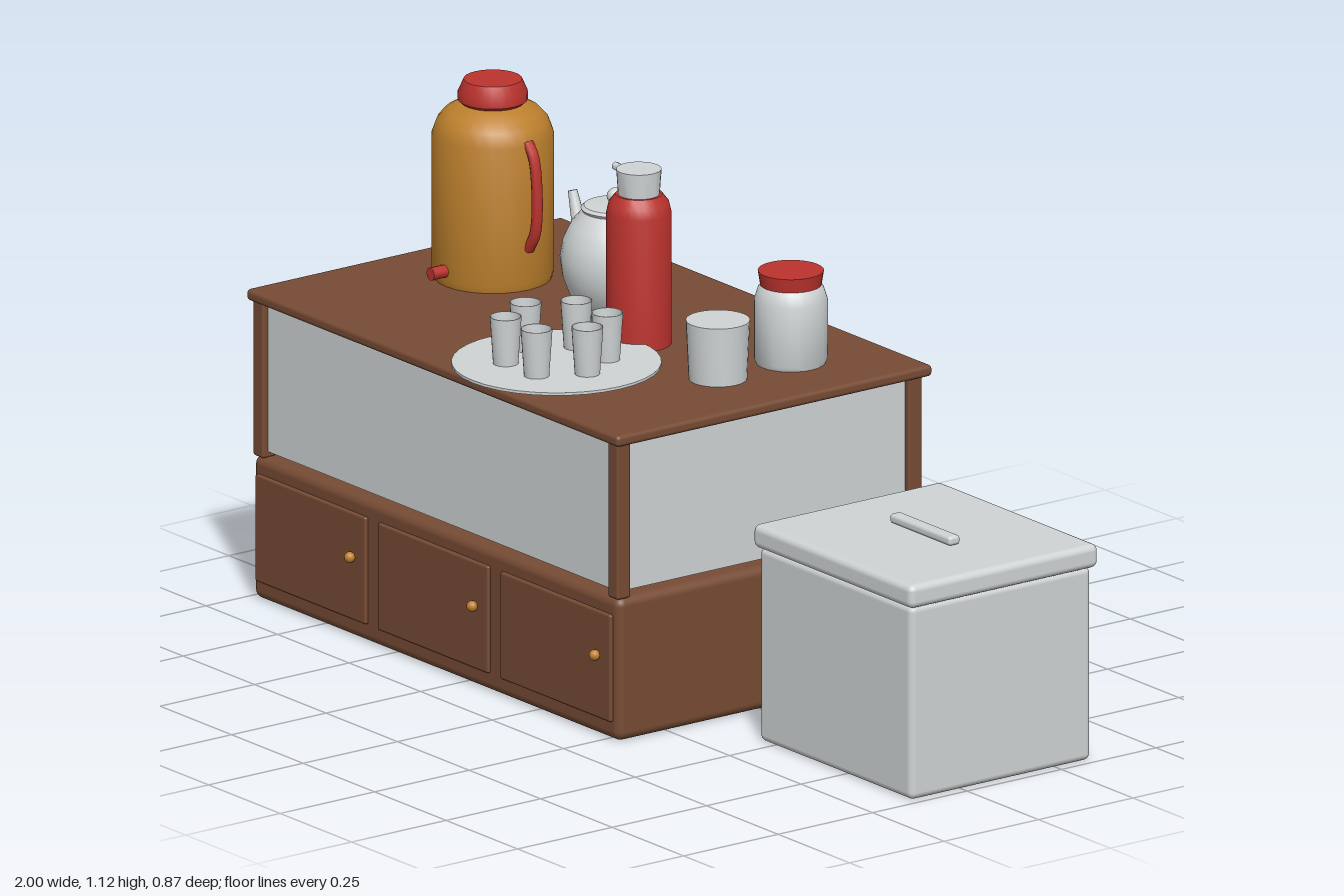
import * as THREE from 'three';
import { toCreasedNormals } from 'three/addons/utils/BufferGeometryUtils.js';
import { RoundedBoxGeometry } from 'three/addons/geometries/RoundedBoxGeometry.js';

const paint = (name, color) => {
  const m = new THREE.MeshStandardMaterial({ color });
  m.name = name;
  return m;
};

export function createModel() {
  const wood = paint('wood', 0x764b34);
  const pale = paint('paleGrey', 0xd0d4d4);
  const red = paint('red', 0xbc332e);
  const amber = paint('amber', 0xbd802d);
  const dark = paint('darkBrown', 0x3b2a20);
  const blue = paint('blue', 0x2f5a8a);
  const root = new THREE.Group();

  const add = (parent, name, geo, mat, x = 0, y = 0, z = 0) => {
    const m = new THREE.Mesh(geo, mat);
    m.name = name;
    m.position.set(x, y, z);
    parent.add(m);
    return m;
  };
  const group = (name, x = 0, y = 0, z = 0) => {
    const g = new THREE.Group();
    g.name = name;
    g.position.set(x, y, z);
    root.add(g);
    return g;
  };
  // Box given by its lower and upper limits, with optional rounded edges
  const box = (parent, name, mat, [x0, y0, z0], [x1, y1, z1], r = 0) => {
    const s = [x1 - x0, y1 - y0, z1 - z0];
    const geo = r ? new RoundedBoxGeometry(...s, 3, r) : new THREE.BoxGeometry(...s);
    return add(parent, name, geo, mat, (x0 + x1) / 2, (y0 + y1) / 2, (z0 + z1) / 2);
  };
  // Turned shape from [radius, height] pairs, listed upwards on the outside
  const turned = (pairs, sides = 28) => toCreasedNormals(
    new THREE.LatheGeometry(pairs.map(p => new THREE.Vector2(...p)), sides), 0.6);
  const tube = (pts, r) => new THREE.TubeGeometry(
    new THREE.CatmullRomCurve3(pts.map(p => new THREE.Vector3(...p))), 20, r, 8);
  const ball = (r) => new THREE.SphereGeometry(r, 14, 10);

  // Counter
  const counter = group('counter');
  box(counter, 'cabinet', wood, [-0.99, 0.003, -0.425], [0.29, 0.32, 0.385], 0.02);
  box(counter, 'counterTop', wood, [-1, 0.66, -0.44], [0.3, 0.685, 0.395], 0.009);
  for (const x of [-0.97, 0.27])
    for (const z of [-0.403, 0.368])
      box(counter, 'post', wood, [x - 0.018, 0.318, z - 0.018], [x + 0.018, 0.662, z + 0.018], 0.006);
  box(counter, 'frontPanel', pale, [-0.952, 0.332, 0.364], [0.252, 0.66, 0.372]);
  for (const x of [-0.97, 0.27])
    box(counter, 'sidePanel', pale, [x - 0.004, 0.332, -0.385], [x + 0.004, 0.66, 0.35]);
  for (let i = 0; i < 3; i++) {
    const x = -0.778 + i * 0.428;
    box(counter, 'door', wood, [x - 0.193, 0.045, 0.375], [x + 0.193, 0.282, 0.393], 0.005);
    add(counter, 'doorKnob', ball(0.012), amber, x + 0.148, 0.185, 0.4);
  }

  // Goods in the case: rows of [x, width, height, colour]
  const goods = group('goods');
  const rows = [
    [-0.235, [[0.16, 0.1, 0.14, dark], [0.07, 0.1, 0.06, pale], [-0.03, 0.09, 0.08, blue],
      [-0.145, 0.1, 0.17, wood], [-0.27, 0.1, 0.12, dark], [-0.39, 0.07, 0.14, wood],
      [-0.485, 0.09, 0.17, blue], [-0.59, 0.08, 0.14, dark], [-0.69, 0.09, 0.08, red],
      [-0.8, 0.07, 0.13, red], [-0.89, 0.07, 0.11, pale]]],
    [0, [[0.18, 0.09, 0.13, dark], [0.08, 0.1, 0.15, amber], [-0.03, 0.09, 0.12, dark],
      [-0.14, 0.09, 0.1, red], [-0.25, 0.1, 0.1, pale], [-0.37, 0.1, 0.13, amber],
      [-0.49, 0.1, 0.08, pale], [-0.62, 0.09, 0.12, red], [-0.75, 0.1, 0.1, pale]]],
    [0.215, [[0.14, 0.1, 0.09, dark], [0.015, 0.07, 0.13, amber], [-0.11, 0.09, 0.1, wood],
      [-0.24, 0.08, 0.12, pale], [-0.345, 0.09, 0.1, red], [-0.455, 0.09, 0.13, red],
      [-0.6, 0.1, 0.1, pale], [-0.78, 0.1, 0.12, blue], [-0.88, 0.08, 0.1, dark]]],
  ];
  for (const [z, items] of rows)
    for (const [x, w, h, mat] of items)
      box(goods, 'packet', mat, [x - w / 2, 0.32, z - 0.065], [x + w / 2, 0.32 + h, z + 0.065]);

  // Cool box beside the counter
  const cooler = group('coolBox');
  box(cooler, 'coolBoxBody', pale, [0.452, 0.003, -0.341], [0.986, 0.432, 0.137], 0.015);
  box(cooler, 'coolBoxLid', pale, [0.442, 0.43, -0.352], [0.998, 0.482, 0.147], 0.015);
  box(cooler, 'coolBoxHandle', pale, [0.612, 0.482, -0.117], [0.824, 0.503, -0.087], 0.008);

  // Drinks dispenser
  const jug = group('dispenser', -0.757, 0.685, -0.075);
  add(jug, 'dispenserBody', turned([[0, 0], [0.125, 0], [0.129, 0.015], [0.129, 0.32],
    [0.118, 0.35], [0.1, 0.37], [0.07, 0.385], [0, 0.385]]), amber);
  add(jug, 'dispenserCap', turned([[0, 0.38], [0.06, 0.38], [0.074, 0.392], [0.074, 0.41],
    [0.062, 0.437], [0, 0.437]]), red);
  add(jug, 'tap', new THREE.CylinderGeometry(0.014, 0.014, 0.06, 12), red, 0, 0.035, 0.135).rotation.x = Math.PI / 2;
  add(jug, 'dispenserHandle', tube([[0.122, 0.325, 0], [0.142, 0.3, 0], [0.155, 0.21, 0],
    [0.148, 0.13, 0], [0.125, 0.09, 0]], 0.012), red);

  // Kettle
  const kettle = group('kettle', -0.435, 0.685, -0.155);
  add(kettle, 'kettleBody', turned([[0, 0], [0.075, 0], [0.097, 0.03], [0.112, 0.07], [0.117, 0.11],
    [0.11, 0.15], [0.093, 0.185], [0.07, 0.212], [0, 0.212]]), pale);
  add(kettle, 'kettleLid', turned([[0, 0.21], [0.068, 0.21], [0.073, 0.218], [0.066, 0.224], [0, 0.23]]), pale);
  add(kettle, 'kettleKnob', ball(0.018), pale, 0, 0.243, 0);
  const spout = add(kettle, 'spout', new THREE.CylinderGeometry(0.01, 0.023, 0.165, 12), pale, -0.123, 0.14, 0);
  spout.rotation.z = 0.32;
  add(kettle, 'kettleHandle', tube([[0, 0.31, 0], [0.035, 0.307, 0], [0.07, 0.288, 0], [0.094, 0.255, 0],
    [0.1, 0.22, 0], [0.085, 0.18, 0]], 0.009), pale);

  // Vacuum flask
  const flask = group('flask', -0.2, 0.685, -0.04);
  add(flask, 'flaskBody', turned([[0, 0], [0.069, 0], [0.069, 0.29], [0.064, 0.312], [0.05, 0.33], [0, 0.33]]), red);
  add(flask, 'flaskCap', turned([[0, 0.328], [0.044, 0.328], [0.048, 0.385], [0, 0.385]]), pale);

  // Jar and tin
  const jar = group('jar', 0.1, 0.685, -0.215);
  add(jar, 'jarBody', turned([[0, 0], [0.074, 0], [0.078, 0.01], [0.078, 0.14], [0.07, 0.165], [0.062, 0.175], [0, 0.175]]), pale);
  add(jar, 'jarLid', turned([[0, 0.172], [0.065, 0.172], [0.07, 0.203], [0, 0.203]]), red);
  const tin = group('tin', 0.1, 0.685, -0.022);
  add(tin, 'tinBody', turned([[0, 0], [0.062, 0], [0.068, 0.13], [0, 0.13]]), pale);

  // Tray with six glasses of tea
  const tray = group('tray', -0.158, 0.685, 0.21);
  add(tray, 'trayDish', turned([[0, 0], [0.18, 0], [0.222, 0.011], [0.222, 0.017], [0, 0.017]], 36), pale);
  const glass = turned([[0, 0], [0.027, 0], [0.034, 0.104], [0.032, 0.104], [0.026, 0.008], [0, 0.008]], 16);
  const tea = new THREE.CylinderGeometry(0.0305, 0.0305, 0.006, 16);
  for (let i = 0; i < 6; i++) {
    const a = i * Math.PI / 3, x = 0.108 * Math.cos(a), z = 0.108 * Math.sin(a);
    add(tray, 'glass', glass, pale, x, 0.017, z);
    add(tray, 'tea', tea, amber, x, 0.082, z);
  }
  return root;
}
